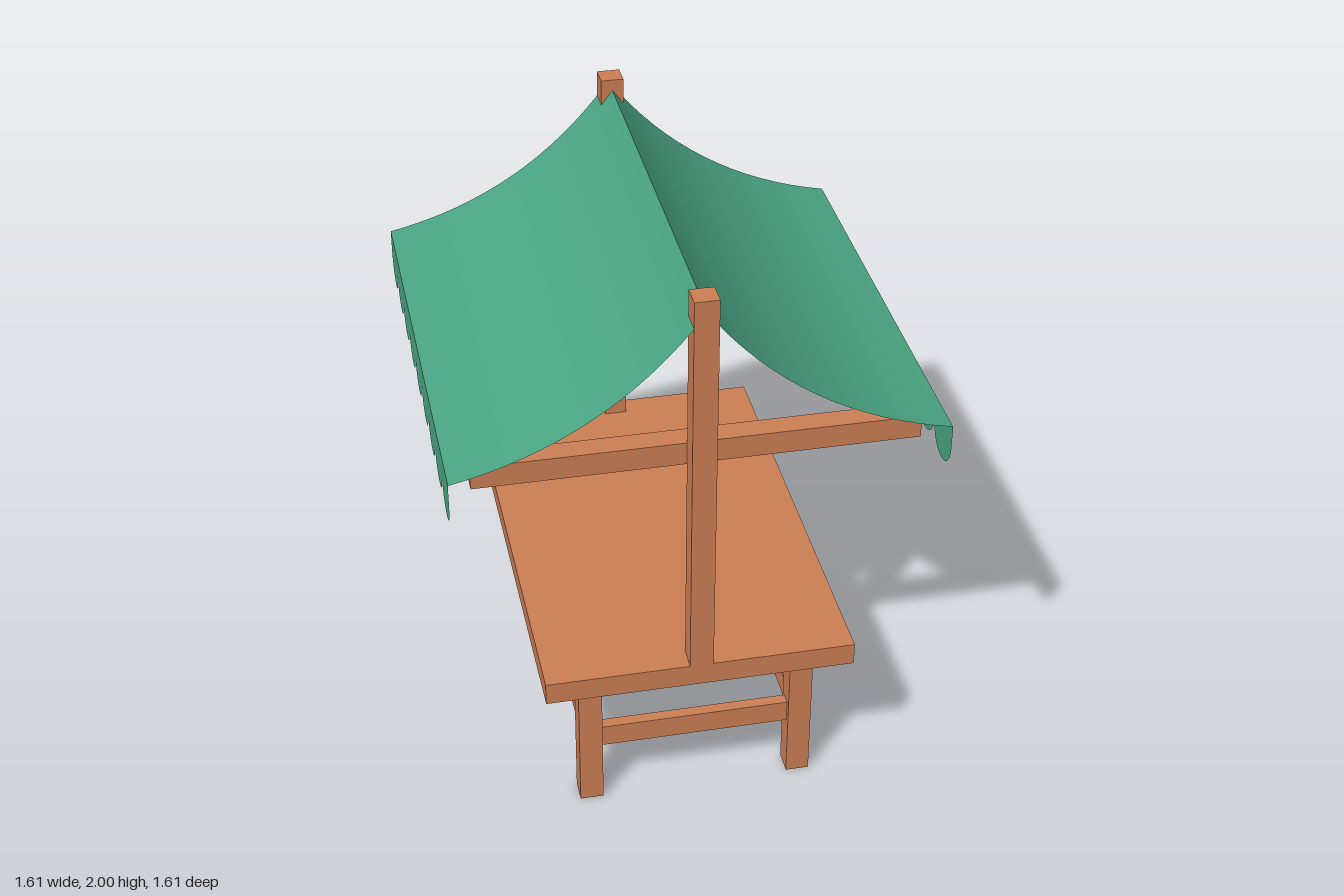
import * as THREE from 'three';

const wood = new THREE.MeshStandardMaterial({ color: 0xcc7f55 });
const cloth = new THREE.MeshStandardMaterial({ color: 0x4aa583, side: THREE.DoubleSide });

const T = 0.08;          // timber thickness
const DEPTH = 1.61;      // length of the stall along z
const EDGE_X = 0.805;    // outer edge of the awning
const EDGE_Y = 1.44;

// Box given by its size and centre
function beam(name, w, h, d, x, y, z) {
  const mesh = new THREE.Mesh(new THREE.BoxGeometry(w, h, d), wood);
  mesh.name = name;
  mesh.position.set(x, y, z);
  return mesh;
}

// Sagging cloth sheet from the ridge to the outer edge
function awningSheet() {
  const curve = new THREE.QuadraticBezierCurve(
    new THREE.Vector2(0, 1.96), new THREE.Vector2(0.306, 1.541), new THREE.Vector2(EDGE_X, EDGE_Y));
  const geo = new THREE.PlaneGeometry(1, 1, 16, 1);
  const pos = geo.attributes.position;
  for (let i = 0; i < pos.count; i++) {
    const p = curve.getPoint(pos.getX(i) + 0.5);
    pos.setXYZ(i, p.x, p.y, -pos.getY(i) * DEPTH);
  }
  geo.computeVertexNormals();
  const mesh = new THREE.Mesh(geo, cloth);
  mesh.name = 'awningSheet';
  return mesh;
}

// Hanging strip with nine round scallops
function valance() {
  const count = 9, r = DEPTH / count / 2, y = 1.355;
  const shape = new THREE.Shape();
  shape.moveTo(-DEPTH / 2, EDGE_Y);
  shape.lineTo(-DEPTH / 2, y);
  for (let i = 0; i < count; i++) {
    shape.absarc(-DEPTH / 2 + r * (2 * i + 1), y, r, Math.PI, 2 * Math.PI, false);
  }
  shape.lineTo(DEPTH / 2, EDGE_Y);
  const mesh = new THREE.Mesh(new THREE.ShapeGeometry(shape, 16).rotateY(Math.PI / 2), cloth);
  mesh.name = 'valance';
  mesh.position.x = EDGE_X;
  return mesh;
}

export function createModel() {
  const stall = new THREE.Group();
  stall.name = 'marketStall';

  // Table
  const table = new THREE.Group();
  table.name = 'table';
  table.add(beam('tableTop', 1.05, T, DEPTH, 0, 0.555, 0));
  const legX = 0.365, legZ = 0.69;
  for (const s of [-1, 1]) {
    for (const t of [-1, 1]) table.add(beam('leg', T, 0.515, T, s * legX, 0.2575, t * legZ));
    table.add(beam('longRail', T / 2, T, 2 * legZ - T, s * legX, 0.255, 0));
    table.add(beam('shortRail', 2 * legX - T, T, T / 2, 0, 0.255, s * legZ));
  }
  stall.add(table);

  // Posts at both ends, with crossbars on their inner faces
  const frame = new THREE.Group();
  frame.name = 'awningFrame';
  for (const s of [-1, 1]) {
    frame.add(beam('post', T, 1.405, T, 0, 1.2975, s * (DEPTH / 2 - T / 2)));
    frame.add(beam('crossbar', 1.455, T, T, 0, 1.4, s * (DEPTH / 2 - 1.5 * T)));
  }
  stall.add(frame);

  // Two matching halves of the awning
  for (const [name, turn] of [['awningLeft', 0], ['awningRight', Math.PI]]) {
    const half = new THREE.Group();
    half.name = name;
    half.add(awningSheet(), valance());
    half.rotation.y = turn;
    stall.add(half);
  }
  return stall;
}
